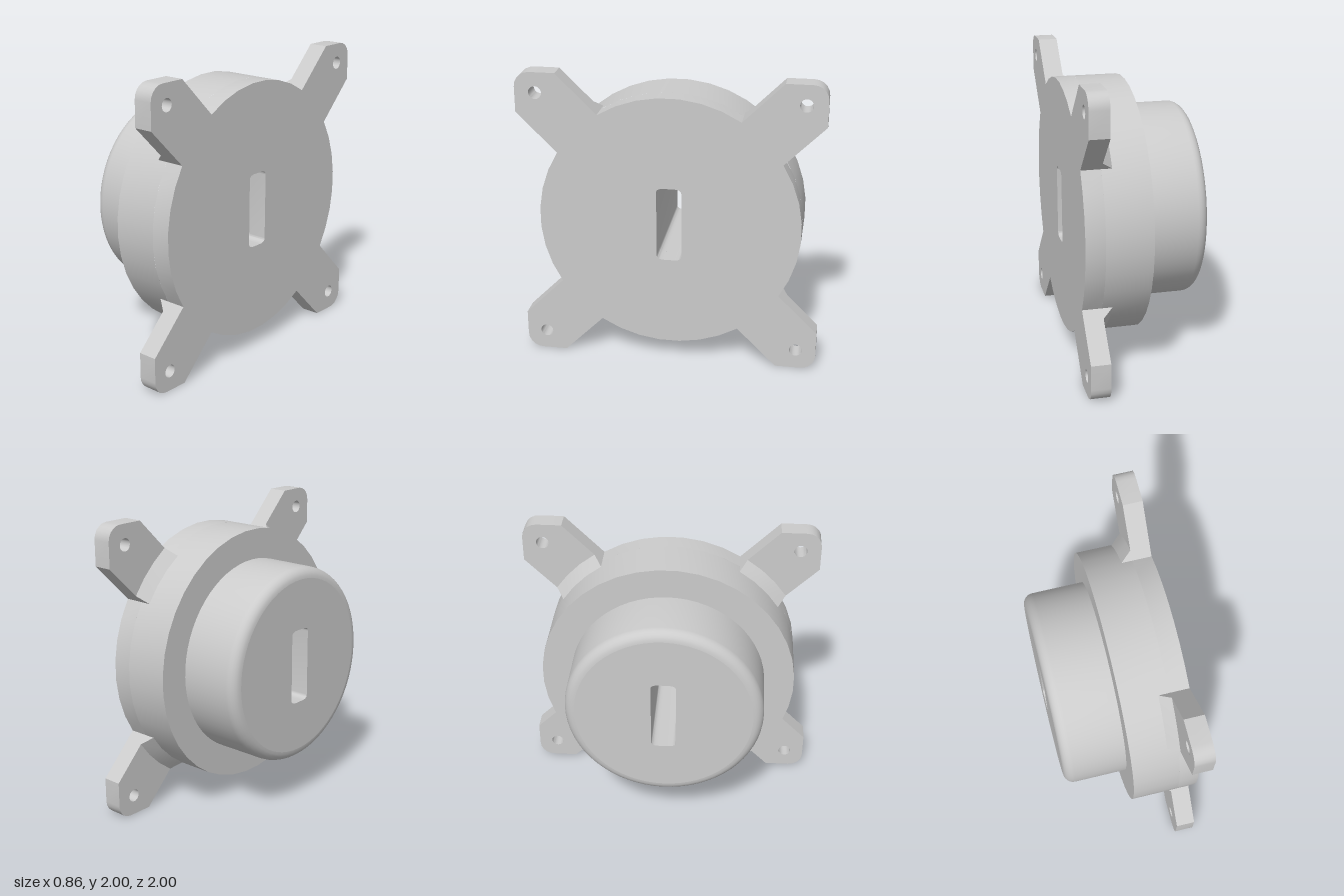
import * as THREE from 'three';
import { toCreasedNormals } from 'three/addons/utils/BufferGeometryUtils.js';

const DISC_R = 0.87, BOSS_R = 0.665, FILLET = 0.07;
const BACK = -0.43, STEP = -0.01, PLATE = 0.30, FRONT = 0.43;

export function createModel() {
  const model = new THREE.Group();
  model.name = 'slottedFlange';
  const material = new THREE.MeshStandardMaterial({ color: 0xcccccc });

  // Built along local z, then turned so the mounting face looks towards +x
  const body = new THREE.Group();
  body.name = 'body';
  body.rotation.y = Math.PI / 2;
  body.position.y = 1;
  model.add(body);

  const add = (name, geometry) => {
    const mesh = new THREE.Mesh(toCreasedNormals(geometry, 0.5), material);
    mesh.name = name;
    body.add(mesh);
    return mesh;
  };
  const fromTriangles = (points) => new THREE.BufferGeometry().setFromPoints(points);
  const polar = (r, a) => new THREE.Vector2(r * Math.cos(a), r * Math.sin(a));
  const lathe = (profile, sides, start) => new THREE.LatheGeometry(
    profile.map(([r, z]) => new THREE.Vector2(r, z)), sides, start).rotateX(Math.PI / 2);

  // Central slot outline with softened corners
  const slotPath = () => {
    const w = 0.083, h = 0.255, rx = 0.05, ry = 0.03;
    const p = new THREE.Path();
    p.moveTo(w, -h + ry).lineTo(w, h - ry).quadraticCurveTo(w, h, w - rx, h);
    p.lineTo(-w + rx, h).quadraticCurveTo(-w, h, -w, h - ry);
    p.lineTo(-w, -h + ry).quadraticCurveTo(-w, -h, -w + rx, -h);
    p.lineTo(w - rx, -h).quadraticCurveTo(w, -h, w, -h + ry);
    return p;
  };

  // Boss with a rounded outer edge
  const bossProfile = [];
  for (let i = 0; i <= 6; i++) {
    const p = polar(FILLET, (i / 6) * Math.PI / 2);
    bossProfile.push([BOSS_R - FILLET + p.y, BACK + FILLET - p.x]);
  }
  bossProfile.push([BOSS_R, STEP]);
  add('bossWall', lathe(bossProfile, 64, 0));

  const capPoints = [];
  for (let i = 0; i < 64; i++) capPoints.push(polar(BOSS_R - FILLET, (i / 64) * Math.PI * 2));
  const cap = new THREE.Shape(capPoints);
  cap.holes.push(slotPath());
  add('bossEnd', new THREE.ShapeGeometry(cap, 6).rotateY(Math.PI).translate(0, 0, BACK));

  // Wide disc: shoulder and rim up to the mounting plate
  add('disc', lathe([[BOSS_R - 0.01, STEP], [DISC_R, STEP], [DISC_R, PLATE]], 40, Math.PI / 40));

  // Mounting plate: round centre with four diagonal arms
  const outline = [];
  const origin = new THREE.Vector2();
  const armAngle = Math.atan2(0.465, 0.735);
  for (let k = 0; k < 4; k++) {
    const quadrant = [];
    for (let i = 0; i <= 7; i++) quadrant.push(polar(DISC_R, armAngle * (-1 + 2 * i / 7)));
    quadrant.push(new THREE.Vector2(1, 0.73));
    for (let i = 0; i <= 5; i++) {
      quadrant.push(polar(0.1, (i / 5) * Math.PI / 2).add(new THREE.Vector2(0.9, 0.9)));
    }
    quadrant.push(new THREE.Vector2(0.73, 1));
    quadrant.forEach((p) => outline.push(p.rotateAround(origin, k * Math.PI / 2)));
  }
  const plate = new THREE.Shape(outline);
  plate.holes.push(slotPath());
  for (const x of [-0.865, 0.865]) {
    for (const y of [-0.865, 0.865]) {
      plate.holes.push(new THREE.Path().absarc(x, y, 0.043, 0, Math.PI * 2));
    }
  }
  add('mountingPlate', new THREE.ExtrudeGeometry(plate, {
    depth: FRONT - PLATE, bevelEnabled: false, curveSegments: 10,
  }).translate(0, 0, PLATE));

  // Inner walls of the slot between the boss end and the plate
  const slot = slotPath().getPoints(6);
  const walls = [];
  for (let i = 0; i < slot.length - 1; i++) {
    const at = (p, z) => new THREE.Vector3(p.x, p.y, z);
    const [a, b] = [slot[i], slot[i + 1]];
    walls.push(at(a, BACK), at(a, PLATE), at(b, PLATE), at(a, BACK), at(b, PLATE), at(b, BACK));
  }
  const wallGeometry = fromTriangles(walls);
  wallGeometry.computeVertexNormals();
  add('slotWalls', wallGeometry);

  // Sloped gusset behind the root of each arm
  const rim = (r, z, s) => {
    const p = polar(r, s * Math.asin(0.191 / r));
    return new THREE.Vector3(p.x, p.y, z);
  };
  const low = (s) => rim(DISC_R, 0.23, s);
  const high = (s) => rim(DISC_R + 0.07, PLATE, s);
  const root = (s) => rim(DISC_R, PLATE, s);
  const wedge = [low(1), root(1), high(1), low(-1), high(-1), root(-1)];
  for (let i = 0; i < 3; i++) {
    const s = -1 + 2 * i / 3, t = s + 2 / 3;
    wedge.push(low(s), low(t), high(t), low(s), high(t), high(s));
  }
  for (let k = 0; k < 4; k++) {
    const geometry = fromTriangles(wedge);
    geometry.computeVertexNormals();
    add('armGusset', geometry).rotation.z = Math.PI / 4 + k * Math.PI / 2;
  }

  return model;
}
